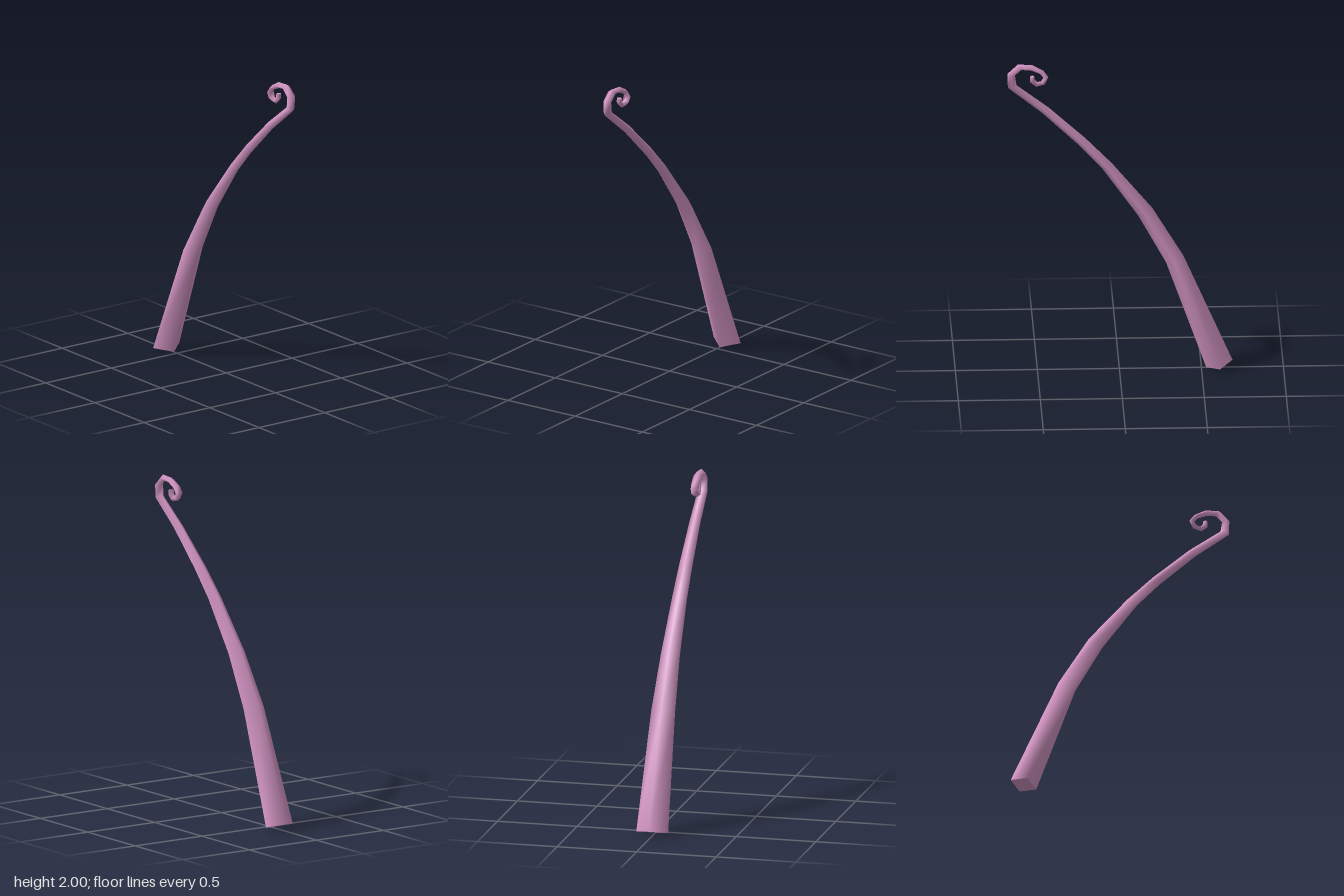
import * as THREE from 'three';

// Each ring: left edge x, y, right edge x, y, half depth in z
const RINGS = [
  [-0.69, 0.047, -0.53, 0.0, 0.1],
  [-0.39, 0.735, -0.285, 0.69, 0.075],
  [-0.2, 1.05, -0.115, 1.0, 0.06],
  [0.045, 1.345, 0.1, 1.305, 0.047],
  [0.205, 1.51, 0.245, 1.465, 0.042],
  [0.43, 1.715, 0.47, 1.68, 0.035],
  [0.627, 1.865, 0.68, 1.848, 0.031],
  [0.636, 1.927, 0.682, 1.94, 0.029],
  [0.597, 1.963, 0.618, 2.0, 0.028],
  [0.538, 1.958, 0.533, 1.995, 0.027],
  [0.485, 1.936, 0.464, 1.958, 0.026],
  [0.464, 1.911, 0.432, 1.915, 0.025],
  [0.475, 1.889, 0.454, 1.867, 0.024],
  [0.501, 1.883, 0.507, 1.851, 0.023],
  [0.517, 1.9, 0.544, 1.883, 0.021],
  [0.517, 1.92, 0.544, 1.92, 0.019],
];

// Four corners of a diamond section: left, front, right, back
function corners([lx, ly, rx, ry, d]) {
  const cx = (lx + rx) / 2, cy = (ly + ry) / 2;
  return [lx, ly, 0, cx, cy, d, rx, ry, 0, cx, cy, -d];
}

function makeGeometry(positions, index) {
  const g = new THREE.BufferGeometry();
  g.setAttribute('position', new THREE.Float32BufferAttribute(positions, 3));
  g.setIndex(index);
  g.computeVertexNormals();
  return g;
}

export function createModel() {
  const group = new THREE.Group();
  group.name = 'curledTendril';
  const material = new THREE.MeshStandardMaterial({ color: 0xd898c8 });
  const add = (name, geometry) => {
    const mesh = new THREE.Mesh(geometry, material);
    mesh.name = name;
    group.add(mesh);
  };

  // Tapering stalk that ends in a spiral curl, smooth along its sides
  const index = [];
  for (let i = 0; i < RINGS.length - 1; i++) {
    for (let j = 0; j < 4; j++) {
      const a = i * 4 + j, b = i * 4 + (j + 1) % 4;
      index.push(a, b, b + 4, a, b + 4, a + 4);
    }
  }
  add('stalk', makeGeometry(RINGS.flatMap(corners), index));

  // Flat ends
  add('baseCap', makeGeometry(corners(RINGS[0]), [0, 2, 1, 0, 3, 2]));
  add('tipCap', makeGeometry(corners(RINGS[RINGS.length - 1]), [0, 1, 2, 0, 2, 3]));

  return group;
}
